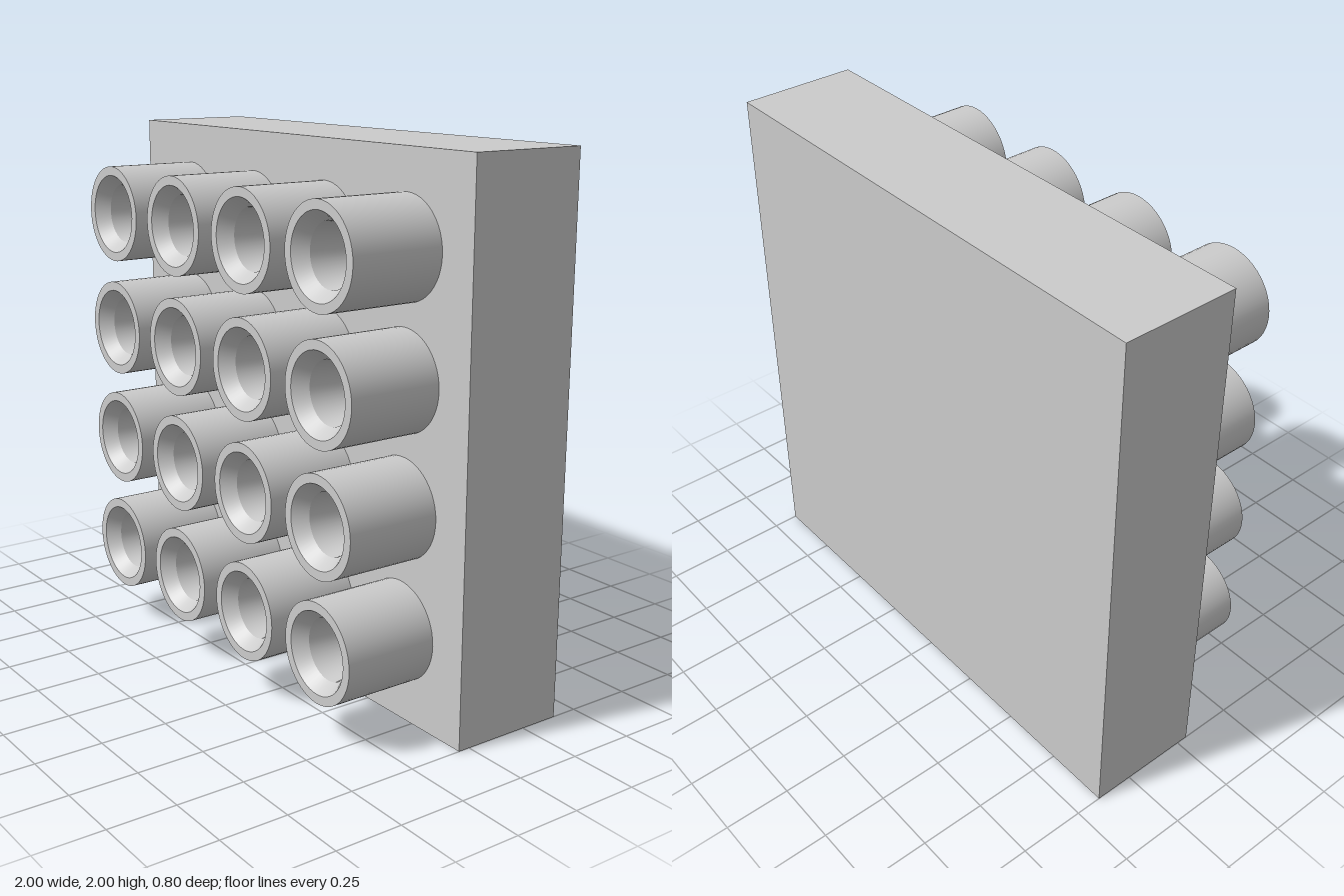
import * as THREE from 'three';

const material = new THREE.MeshStandardMaterial({ color: 0xcccccc });

const FRONT = 0.045; // front face of the plate
const BACK = -0.4;
const TUBE_LENGTH = 0.357;
const SPACING = 0.447;

// Lathe whose straight segments keep sharp edges between them
function sharpLathe(points, segments) {
  const profile = points.map(([r, y]) => new THREE.Vector2(r, y));
  const group = new THREE.Group();
  for (let i = 0; i < profile.length - 1; i++) {
    const geometry = new THREE.LatheGeometry([profile[i], profile[i + 1]], segments);
    geometry.rotateX(Math.PI / 2); // lathe axis to +z
    group.add(new THREE.Mesh(geometry, material));
  }
  return group;
}

// Hollow tube: outer wall, flat rim, chamfered mouth, tapered bore and floor
function createTube() {
  const tube = sharpLathe([
    [0.182, 0],
    [0.182, TUBE_LENGTH],
    [0.148, TUBE_LENGTH],
    [0.111, TUBE_LENGTH - 0.05],
    [0.075, 0.002],
    [0, 0.002],
  ], 48);
  ['outerWall', 'rim', 'mouthChamfer', 'bore', 'boreFloor'].forEach((name, i) => {
    tube.children[i].name = name;
  });
  return tube;
}

export function createModel() {
  const model = new THREE.Group();
  model.name = 'tubePanel';

  // Square backing plate
  const plate = new THREE.Mesh(new THREE.BoxGeometry(2, 2, FRONT - BACK), material);
  plate.name = 'plate';
  plate.position.set(0, 1, (FRONT + BACK) / 2);
  model.add(plate);

  // Four by four grid of tubes
  const prototype = createTube();
  for (let row = 0; row < 4; row++) {
    for (let col = 0; col < 4; col++) {
      const tube = prototype.clone();
      tube.name = `tubeRow${row + 1}Column${col + 1}`;
      tube.position.set((col - 1.5) * SPACING, 1 + (row - 1.5) * SPACING, FRONT);
      model.add(tube);
    }
  }
  return model;
}
